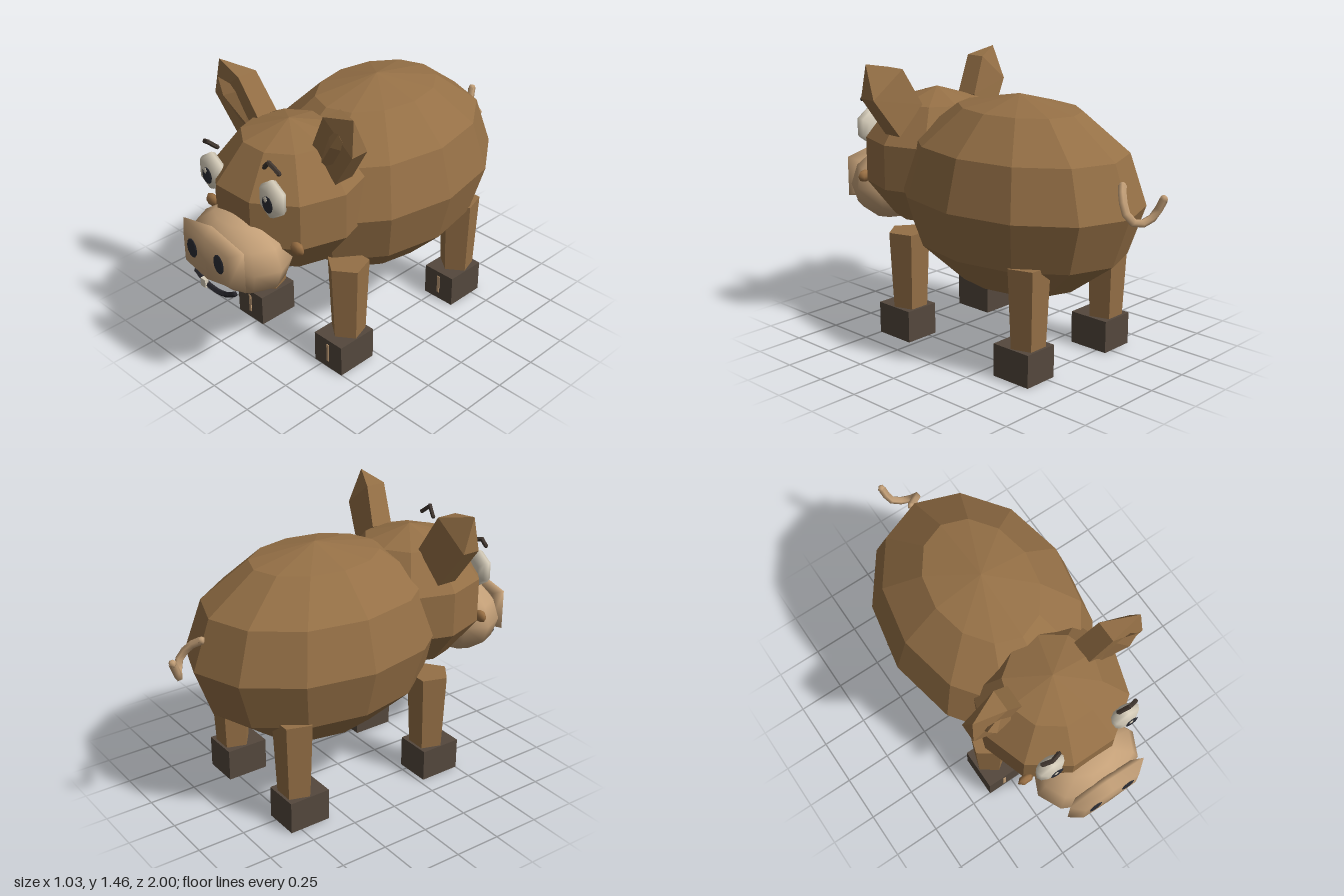
import * as THREE from 'three';

const mat = (name, color, flat = true) => {
  const m = new THREE.MeshStandardMaterial({ color, flatShading: flat });
  m.name = name;
  return m;
};

export function createModel() {
  const hide = mat('brown hide', 0x957046);
  const snoutTan = mat('snout tan', 0xc4a078, false);
  const hoofBrown = mat('hoof brown', 0x54483d);
  const eyeWhite = mat('eye white', 0xd9d0bd, false);
  const dark = mat('dark grey', 0x2c2e36);
  const mouthDark = mat('mouth dark', 0x26252b);
  const browBrown = mat('eyebrow brown', 0x40362f);
  const spot = mat('cheek brown', 0x9a7044, false);
  const root = new THREE.Group();

  const add = (name, geo, material, x = 0, y = 0, z = 0, parent = root) => {
    const m = new THREE.Mesh(geo, material);
    m.name = name;
    m.position.set(x, y, z);
    parent.add(m);
    return m;
  };
  const ball = (rx, ry, rz, w, h) => new THREE.SphereGeometry(1, w, h).scale(rx, ry, rz);
  const tube = (pts, r, seg) => new THREE.TubeGeometry(
    new THREE.CatmullRomCurve3(pts.map(p => new THREE.Vector3(...p))), seg, r, 5);
  // tube with both ends closed by small balls
  const rod = (name, pts, r, seg, material) => {
    const g = new THREE.Group();
    g.name = name;
    root.add(g);
    add(name + 'Tube', tube(pts, r, seg), material, 0, 0, 0, g);
    for (const p of [pts[0], pts[pts.length - 1]]) add(name + 'End', ball(r, r, r, 5, 4), material, ...p, g);
  };

  // body and head
  add('body', ball(0.514, 0.513, 0.7, 12, 6), hide, 0, 0.814, -0.14);
  add('head', ball(0.4, 0.38, 0.4, 10, 5), hide, 0, 0.913, 0.45);

  // snout with a six-sided nose plate
  add('snout', ball(0.29, 0.21, 0.2, 10, 6), snoutTan, 0, 0.72, 0.78);
  const plate = new THREE.LatheGeometry([[0, -0.04], [0.75, -0.035], [1, -0.005], [0.72, 0.045], [0, 0.05]]
    .map(p => new THREE.Vector2(...p)), 6).rotateX(Math.PI / 2).scale(0.254, 0.157, 1);
  const pp = plate.attributes.position;
  for (let i = 0; i < pp.count; i++) if (Math.abs(pp.getX(i)) > 0.05) pp.setY(i, pp.getY(i) * 1.4);
  plate.computeVertexNormals();
  add('nosePlate', plate, snoutTan, 0, 0.753, 0.945);

  // mouth and tooth
  rod('mouth', [[-0.14, 0.602, 0.945], [-0.075, 0.568, 0.948], [0, 0.558, 0.95], [0.075, 0.568, 0.948], [0.14, 0.602, 0.945]],
    0.014, 8, mouthDark);
  add('tooth', new THREE.BoxGeometry(0.034, 0.044, 0.02), eyeWhite, -0.067, 0.573, 0.958);

  // ear built from four-sided cross-sections: base, widest ring, tip
  const earGeometry = (base, mid, tip) => {
    const idx = [0, 2, 1, 0, 3, 2];
    for (let k = 0; k < 4; k++) {
      const n = (k + 1) % 4;
      idx.push(k, n, 4 + k, n, 4 + n, 4 + k, 4 + k, 4 + n, 8);
    }
    const g = new THREE.BufferGeometry();
    g.setAttribute('position', new THREE.Float32BufferAttribute([...base, ...mid, tip].flat(), 3));
    g.setIndex(idx);
    g.computeVertexNormals();
    return g;
  };
  const ear = earGeometry(
    [[0.19, 1.23, 0.36], [0.19, 1.23, 0.48], [0.34, 1.08, 0.48], [0.34, 1.08, 0.37]],
    [[0.29, 1.42, 0.395], [0.29, 1.42, 0.505], [0.475, 1.28, 0.505], [0.475, 1.28, 0.41]],
    [0.46, 1.455, 0.48]);
  const innerEar = earGeometry(
    [[0.22, 1.2, 0.46], [0.26, 1.17, 0.49], [0.31, 1.12, 0.46], [0.26, 1.17, 0.43]],
    [[0.3, 1.34, 0.48], [0.37, 1.31, 0.54], [0.415, 1.28, 0.48], [0.36, 1.3, 0.45]],
    [0.415, 1.39, 0.53]);
  // mirrors a geometry across x and restores the face order
  const mirrored = g => {
    const m = g.clone().scale(-1, 1, 1), a = m.index.array;
    for (let i = 0; i < a.length; i += 3) [a[i], a[i + 1]] = [a[i + 1], a[i]];
    m.computeVertexNormals();
    return m;
  };
  add('leftEar', ear, hide);
  add('leftInnerEar', innerEar, hide);
  add('rightEar', mirrored(ear), hide);
  add('rightInnerEar', mirrored(innerEar), hide);

  // six-sided eyeball with its pole facing forward
  const eye = new THREE.SphereGeometry(1, 6, 6).rotateY(Math.PI / 2).rotateX(Math.PI / 2).scale(0.086, 0.102, 0.045);

  for (const s of [-1, 1]) {
    const side = s > 0 ? 'left' : 'right';
    add(side + 'Nostril', ball(0.037, 0.052, 0.005, 8, 6), dark, s * 0.097, 0.77, 0.993);
    add(side + 'CheekSpot', ball(0.046, 0.034, 0.025, 6, 4), spot, s * 0.307, 0.815, 0.695);

    // eyes sit at slightly different heights
    const ey = s > 0 ? 1.067 : 1.042, px = s * 0.215 + 0.012;
    add(side + 'Eye', eye, eyeWhite, s * 0.215, ey, 0.752);
    add(side + 'Pupil', ball(0.036, 0.044, 0.005, 8, 6), dark, px, ey - 0.005, 0.796);
    add(side + 'EyeGlint', ball(0.013, 0.017, 0.003, 6, 4), eyeWhite, px - 0.009, ey + 0.021, 0.8);

    // legs and hooves
    for (const [end, z] of [['Front', 0.365], ['Hind', -0.47]]) {
      const name = side + end;
      add(name + 'Leg', new THREE.CylinderGeometry(0.11, 0.09, 0.43, 5), hide, s * 0.3, 0.365, z);
      add(name + 'Hoof', new THREE.BoxGeometry(0.19, 0.17, 0.225), hoofBrown, s * 0.297, 0.085, z + 0.025);
      add(name + 'HoofStripe', new THREE.BoxGeometry(0.015, 0.102, 0.006), snoutTan, s * 0.297, 0.092, z + 0.139);
    }
  }

  // eyebrows: a calm one and a raised one, each of two straight rods
  const brow = (name, pts) => pts.slice(1).forEach((p, i) => rod(name, [pts[i], p], 0.012, 1, browBrown));
  brow('rightEyebrow', [[-0.262, 1.182, 0.75], [-0.215, 1.2, 0.765], [-0.17, 1.186, 0.75]]);
  brow('leftEyebrow', [[0.165, 1.213, 0.75], [0.213, 1.26, 0.765], [0.262, 1.217, 0.75]]);

  // curly tail
  rod('tail', [[0, 0.97, -0.79], [0.05, 0.93, -0.83], [0.075, 0.86, -0.875], [0.03, 0.815, -0.905],
    [-0.04, 0.84, -0.94], [-0.065, 0.93, -0.98]], 0.021, 8, snoutTan);

  return root;
}
